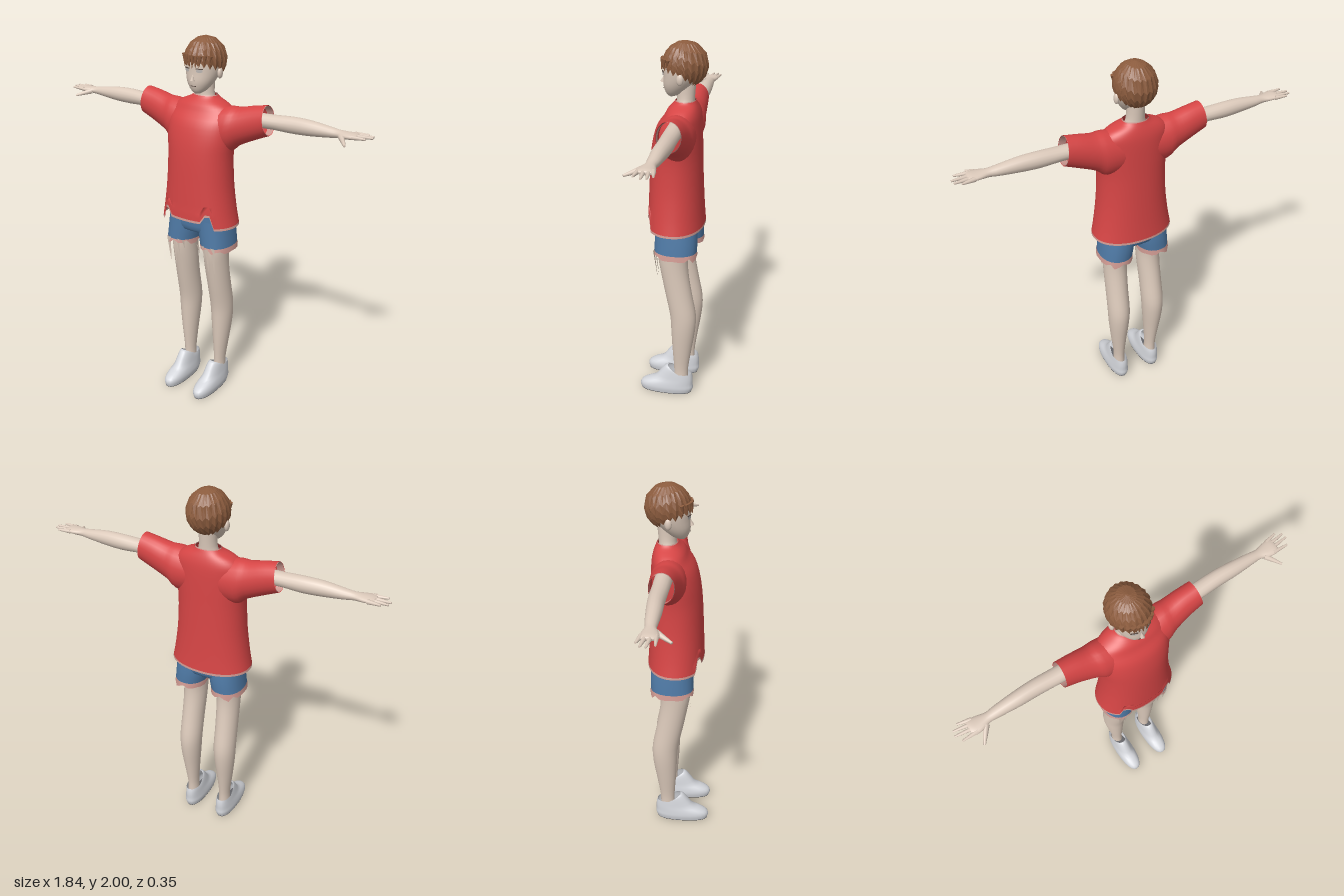
import * as THREE from 'three';

const mat = (name, color, double = false, flatShading = false) => {
  const m = new THREE.MeshStandardMaterial({ color, flatShading });
  m.name = name;
  if (double) m.side = THREE.DoubleSide;
  return m;
};

// Catmull-Rom blend between neighbouring cross-sections
function refine(rows, steps) {
  const out = [];
  const at = i => rows[Math.min(rows.length - 1, Math.max(0, i))];
  for (let i = 0; i < rows.length - 1; i++) {
    for (let s = 0; s < steps; s++) {
      const t = s / steps;
      out.push(at(i).map((b, k) => {
        const a = at(i - 1)[k], c = at(i + 1)[k], d = at(i + 2)[k];
        return b + 0.5 * t * (c - a + t * (2 * a - 5 * b + 4 * c - d + t * (3 * (b - c) + d - a)));
      }));
    }
  }
  out.push(rows[rows.length - 1]);
  return out;
}

// Oval sections along an axis. 'y' rows: [y, cx, cz, rx, rz]; 'x' rows: [x, cy, cz, ry, rz]
function loft(axis, rows, { n = 24, steps = 3, power = 1, caps = [false, false], rule } = {}) {
  const rings = refine(rows, steps), pos = [], idx = [];
  const put = (t, a, b) => axis === 'y' ? pos.push(a, t, b) : pos.push(t, a, b);
  const bend = v => Math.sign(v) * Math.pow(Math.abs(v), power);
  for (const [t, c1, c2, r1, r2] of rings) {
    for (let j = 0; j < n; j++) {
      const w = j / n * Math.PI * 2;
      put(t, c1 + r1 * bend(Math.cos(w)), c2 + r2 * bend(Math.sin(w)));
    }
  }
  const tri = (a, b, c) => axis === 'y' ? idx.push(a, c, b) : idx.push(a, b, c);
  for (let i = 0; i < rings.length - 1; i++) {
    for (let j = 0; j < n; j++) {
      const a = i * n + j, b = i * n + (j + 1) % n;
      tri(a, b, a + n);
      tri(b, b + n, a + n);
    }
  }
  [0, rings.length - 1].forEach((r, end) => {
    if (!caps[end]) return;
    const [t, c1, c2] = rings[r], c = pos.length / 3;
    put(t, c1, c2);
    for (let j = 0; j < n; j++) {
      const a = r * n + j, b = r * n + (j + 1) % n;
      end ? tri(a, b, c) : tri(b, a, c);
    }
  });
  const g = new THREE.BufferGeometry();
  g.setAttribute('position', new THREE.Float32BufferAttribute(pos, 3));
  g.setIndex(idx);
  if (rule) {
    const p = g.attributes.position, v = new THREE.Vector3();
    for (let i = 0; i < p.count; i++) {
      rule(v.fromBufferAttribute(p, i), i % n);
      p.setXYZ(i, v.x, v.y, v.z);
    }
  }
  g.computeVertexNormals();
  return g;
}

function mirrored(g) {
  const m = g.clone().scale(-1, 1, 1), ix = m.index.array;
  for (let i = 0; i < ix.length; i += 3) [ix[i], ix[i + 1]] = [ix[i + 1], ix[i]];
  m.computeVertexNormals();
  return m;
}

// Tapered rod between two points
function rod(a, b, ra, rb) {
  const A = new THREE.Vector3(...a), B = new THREE.Vector3(...b), d = B.clone().sub(A);
  const g = new THREE.CylinderGeometry(rb, ra, d.length(), 8);
  g.applyQuaternion(new THREE.Quaternion().setFromUnitVectors(new THREE.Vector3(0, 1, 0), d.normalize()));
  return g.translate(...A.add(B).multiplyScalar(0.5).toArray());
}

// Thin torn strip of cloth pointing down
function shard(x, top, tip, width, z) {
  const g = new THREE.BufferGeometry();
  g.setAttribute('position', new THREE.Float32BufferAttribute(
    [x - width / 2, top, z, x, tip, z - 0.02, x + width / 2, top, z], 3));
  g.setIndex([0, 1, 2]);
  g.computeVertexNormals();
  return g;
}

export function createModel() {
  const model = new THREE.Group();
  const skin = mat('skin', 0xdccabb, true), red = mat('shirtRed', 0xd64545, true);
  const trim = mat('tornTrim', 0xd09a92, true), blue = mat('denimBlue', 0x4f7aa6, true);
  const brown = mat('hairBrown', 0x8c5c3e, true, true), white = mat('shoeGrey', 0xd3d5da, true);
  const soleGrey = mat('soleGrey', 0x66666a), eyeGrey = mat('eyeGrey', 0xb9b4b0), dark = mat('lashBrown', 0x5a4a42);
  const add = (name, g, m) => {
    const mesh = new THREE.Mesh(g, m);
    mesh.name = name;
    model.add(mesh);
  };
  const pair = (name, g, m) => {
    add('left' + name, g, m);
    add('right' + name, mirrored(g), m);
  };

  // Head, neck and face
  add('head', loft('y', [[1.722, 0, 0.015, 0.015, 0.012], [1.74, 0, 0, 0.042, 0.044], [1.78, 0, -0.017, 0.07, 0.073],
    [1.83, 0, -0.037, 0.088, 0.092], [1.88, 0, -0.045, 0.093, 0.1], [1.93, 0, -0.05, 0.085, 0.092],
    [1.975, 0, -0.05, 0.045, 0.05]], { caps: [true, true] }), skin);
  add('neck', loft('y', [[1.58, 0, -0.055, 0.09, 0.06], [1.67, 0, -0.055, 0.06, 0.048],
    [1.72, 0, -0.058, 0.045, 0.045], [1.8, 0, -0.06, 0.045, 0.05]]), skin);
  add('nose', new THREE.ConeGeometry(0.012, 0.045, 6).scale(1, 1, 1.2).rotateX(-0.25).translate(0, 1.812, 0.054), skin);
  add('mouth', new THREE.BoxGeometry(0.03, 0.003, 0.004).translate(0, 1.764, 0.052), dark);
  pair('Ear', new THREE.SphereGeometry(1, 10, 8).scale(0.012, 0.028, 0.018).translate(0.095, 1.825, -0.045), skin);
  pair('Eye', new THREE.CircleGeometry(1, 14).scale(0.017, 0.009, 1).rotateY(0.4).translate(0.037, 1.842, 0.052), eyeGrey);
  pair('Lash', new THREE.BoxGeometry(0.036, 0.004, 0.004).rotateY(0.4).translate(0.037, 1.852, 0.052), dark);

  // Hair: ridged dome with a jagged lower rim
  let seed = 7;
  const rnd = () => (seed = seed * 16807 % 2147483647) / 2147483647;
  const n = 44, rim = [], ridge = [];
  for (let j = 0; j < n; j++) {
    const front = Math.sin(j / n * Math.PI * 2);
    const base = front > 0 ? 112 - 20 * front : 112 - 38 * front;
    rim.push((base + (j % 2 ? 6 : -6) + 5 * rnd()) * Math.PI / 180);
    ridge.push(j % 2 ? 1 : 0.965 - 0.025 * rnd());
  }
  const rows = [0.02, 0.2, 0.4, 0.6, 0.75, 0.88, 1].map(v => [v, 0, 0, 1, 1]);
  add('hair', loft('y', rows, { n, steps: 1, caps: [true, false], rule: (p, j) => {
    const a = p.y * rim[j], w = j / n * Math.PI * 2, k = 1 - (1 - ridge[j]) * Math.min(1, p.y * 3);
    p.set(0.107 * k * Math.sin(a) * Math.cos(w), 1.885 + 0.115 * Math.cos(a),
      -0.055 + 0.117 * k * Math.sin(a) * Math.sin(w));
  } }), brown);
  for (let i = 0; i < 9; i++) { // loose fringe locks
    const x = -0.08 + i * 0.02, z = -0.05 + 0.115 * Math.sqrt(1 - (x / 0.105) ** 2);
    add('fringeLock', rod([x, 1.915, z - 0.006], [x * 0.95 + 0.008 * (rnd() - 0.5), 1.85 + 0.02 * rnd(), z], 0.011, 0.001), brown);
  }

  // Shirt: body with a lifted, notched front hem, and open sleeves
  const hemRule = p => {
    if (p.y > 1.09 || p.z < 0) return;
    const ax = Math.abs(p.x);
    if (ax < 0.15) p.y += ax > 0.1 ? 0.075 : 0.035;
  };
  const low = [1.042, 0, -0.015, 0.22, 0.15];
  add('shirtBody', loft('y', [low, [1.12, 0, -0.013, 0.205, 0.146], [1.25, 0, -0.012, 0.188, 0.14],
    [1.4, 0, -0.013, 0.182, 0.133], [1.5, 0, -0.018, 0.19, 0.125], [1.58, 0, -0.028, 0.19, 0.112],
    [1.63, 0, -0.043, 0.18, 0.092], [1.665, 0, -0.048, 0.145, 0.078], [1.692, 0, -0.055, 0.085, 0.06],
    [1.705, 0, -0.057, 0.068, 0.052]], { n: 48, power: 0.92, rule: hemRule }), red);
  add('shirtHem', loft('y', [[1.03, 0, -0.015, 0.222, 0.151], low], { n: 48, steps: 1, power: 0.92, rule: hemRule }), trim);
  add('collar', loft('y', [[1.702, 0, -0.057, 0.069, 0.053], [1.709, 0, -0.058, 0.066, 0.05]], { steps: 1 }), trim);
  const slant = p => { p.x += (1.625 - p.y) * 0.15 * Math.max(0, (p.x - 0.2) / 0.18); };
  pair('Sleeve', loft('x', [[0.08, 1.545, -0.04, 0.11, 0.09], [0.17, 1.552, -0.042, 0.118, 0.09],
    [0.22, 1.573, -0.046, 0.098, 0.078], [0.3, 1.602, -0.05, 0.086, 0.068],
    [0.378, 1.625, -0.05, 0.075, 0.062]], { rule: slant }), red);
  pair('SleeveLining', loft('x', [[0.34, 1.614, -0.05, 0.074, 0.06], [0.378, 1.625, -0.05, 0.072, 0.059]],
    { steps: 1, rule: slant }), trim);

  // Arms and hands
  pair('Arm', loft('x', [[0.15, 1.61, -0.05, 0.05, 0.045], [0.36, 1.62, -0.055, 0.036, 0.042],
    [0.5, 1.622, -0.06, 0.041, 0.04], [0.6, 1.623, -0.058, 0.038, 0.037], [0.7, 1.622, -0.057, 0.027, 0.03],
    [0.75, 1.622, -0.055, 0.02, 0.026], [0.79, 1.623, -0.052, 0.017, 0.038], [0.83, 1.625, -0.052, 0.014, 0.043],
    [0.85, 1.626, -0.054, 0.008, 0.036]], { n: 16, caps: [false, true] }), skin);
  [[-0.085, 0.885, -0.1], [-0.066, 0.915, -0.08], [-0.044, 0.92, -0.055], [-0.022, 0.9, -0.018]].forEach(([z, tipX, tipZ], i) =>
    pair('Finger' + (i + 1), rod([0.82, 1.625, z], [tipX, 1.628, tipZ], 0.012, 0.005), skin));
  pair('Thumb', rod([0.775, 1.618, -0.03], [0.828, 1.6, 0.042], 0.016, 0.006), skin);

  // Shorts with torn hems
  add('shortsHips', loft('y', [[0.985, 0, -0.03, 0.17, 0.1], [1.02, 0, -0.03, 0.187, 0.114],
    [1.12, 0, -0.025, 0.17, 0.115]], { power: 0.9, caps: [true, true] }), blue);
  const shortsLow = [0.915, 0.109, -0.029, 0.088, 0.114];
  pair('ShortsLeg', loft('y', [shortsLow, [0.98, 0.1, -0.03, 0.09, 0.114], [1.06, 0.092, -0.028, 0.088, 0.11]],
    { power: 0.9 }), blue);
  pair('ShortsHem', loft('y', [[0.885, 0.111, -0.029, 0.09, 0.117], shortsLow], { steps: 1, power: 0.9, rule: (p, j) => {
    if (p.y < 0.9) p.y += (j % 3 ? 0 : 0.015) + (p.z > 0.02 && p.x < 0.16 ? 0.012 : 0) - (j % 5 ? 0 : 0.012);
  } }), trim);
  [[0.085, 0.81, 0.02], [0.108, 0.75, 0.024], [0.145, 0.76, 0.026], [0.05, 0.86, 0.016]].forEach(([x, tip, w]) =>
    pair('TornStrip', shard(x, 0.92, tip, w, 0.083), skin));

  // Legs
  pair('Leg', loft('y', [[0.1, 0.104, -0.06, 0.032, 0.04], [0.17, 0.105, -0.061, 0.031, 0.041],
    [0.3, 0.108, -0.066, 0.044, 0.055], [0.42, 0.109, -0.072, 0.056, 0.067], [0.52, 0.108, -0.07, 0.061, 0.072],
    [0.65, 0.106, -0.045, 0.061, 0.073], [0.78, 0.103, -0.022, 0.063, 0.075], [0.88, 0.102, -0.014, 0.065, 0.082],
    [1.0, 0.095, -0.025, 0.075, 0.09]]), skin);

  // Shoes, opening rising toward the tongue
  pair('Shoe', loft('y', [[0.004, 0.102, 0.027, 0.05, 0.147], [0.03, 0.102, 0.025, 0.055, 0.155],
    [0.055, 0.102, 0.017, 0.053, 0.145], [0.085, 0.102, -0.016, 0.047, 0.112], [0.11, 0.102, -0.04, 0.042, 0.085],
    [0.128, 0.103, -0.052, 0.038, 0.068]], { power: 0.85, rule: p => {
    if (p.y > 0.09) p.y += Math.max(0, p.z + 0.05) * 0.65 * Math.min(1, (p.y - 0.09) / 0.03);
  } }), white);
  pair('Sole', loft('y', [[0, 0.102, 0.027, 0.049, 0.146], [0.005, 0.102, 0.027, 0.05, 0.147]],
    { steps: 1, power: 0.85, caps: [true, true] }), soleGrey);
  return model;
}
